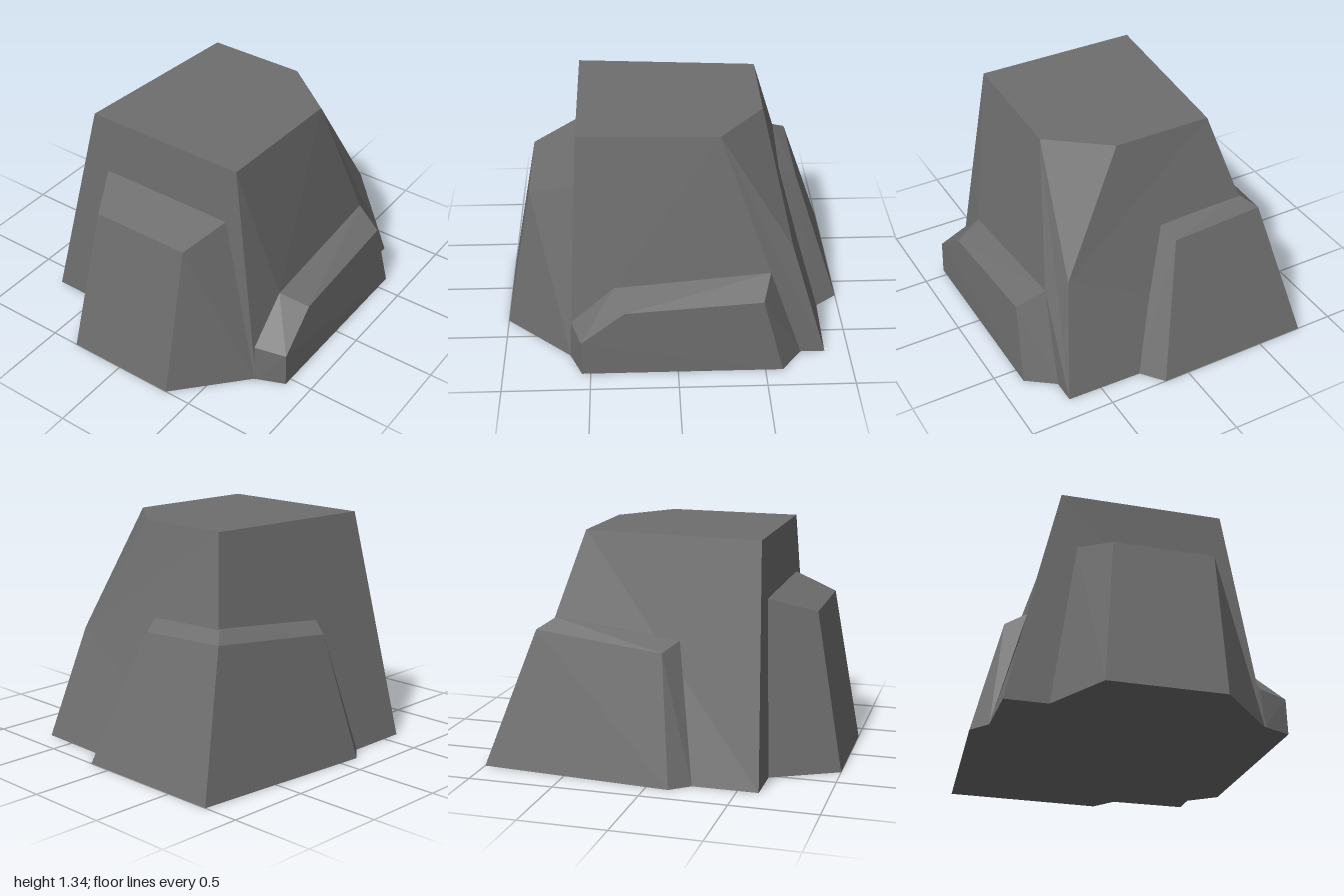
import * as THREE from 'three';
import { ConvexGeometry } from 'three/addons/geometries/ConvexGeometry.js';

// Flat-faced solid from named corners and polygons (fan triangulated).
function facetGeometry(corners, faces) {
  const pos = [];
  for (const face of faces) {
    const names = face.split(' ');
    for (let i = 1; i < names.length - 1; i++) {
      for (const n of [names[0], names[i], names[i + 1]]) pos.push(...corners[n]);
    }
  }
  const g = new THREE.BufferGeometry();
  g.setAttribute('position', new THREE.Float32BufferAttribute(pos, 3));
  g.computeVertexNormals();
  return g;
}

const hull = (points) => new ConvexGeometry(points.map((p) => new THREE.Vector3(...p)));

export function createModel() {
  const group = new THREE.Group();
  group.name = 'rock';
  const stone = new THREE.MeshStandardMaterial({ color: 0x6e6e6e });
  stone.name = 'grey stone';

  const add = (name, geometry) => {
    const mesh = new THREE.Mesh(geometry, stone);
    mesh.name = name;
    group.add(mesh);
  };

  // Tall core: t = top rim, b = base, m = chamfer tip, f = front bulge
  add('core', facetGeometry({
    t0: [-0.55, 1.34, -0.47], t1: [0.5, 1.34, -0.38], t2: [0.5, 1.34, 0.2],
    t3: [0.24, 1.34, 0.53], t4: [-0.55, 1.34, 0.5],
    b0: [-0.62, 0, -0.78], b1: [0.9, 0, -0.78], b2: [0.86, 0, 0.7], b3: [-0.62, 0, 0.7],
    m: [0.66, 0.66, 0.59], f0: [-0.36, 0.46, 0.675], f1: [0.53, 0.54, 0.67],
  }, [
    't0 t4 t3 t2 t1', 'b0 b1 b2 b3',
    't0 b0 b3 t4', 't1 b1 b0', 't1 b0 t0',
    't2 m t1', 'm b1 t1', 'm b2 b1',
    't3 m t2', 't3 b2 m',
    't4 b3 f0', 't4 f0 t3', 't3 f0 f1', 't3 f1 b2', 'f0 b3 b2', 'f0 b2 f1',
  ]));

  // Low ledge across the front
  add('frontLedge', hull([
    [-0.62, 0, 0.69], [-0.55, 0, 0.86], [0.6, 0, 0.86], [0.72, 0, 0.7],
    [-0.55, 0.21, 0.855], [-0.3, 0.4, 0.84], [0.48, 0.45, 0.83],
    [-0.61, 0.23, 0.68], [-0.36, 0.46, 0.675], [0.53, 0.54, 0.67],
  ]));

  // High slab against the right side
  add('rightSlab', hull([
    [-1, 0, -0.33], [-1, 0, 0.34], [-0.62, 0, -0.53], [-0.62, 0, 0.69],
    [-0.83, 0.91, -0.24], [-0.83, 0.91, 0.35],
    [-0.56, 1.0, -0.38], [-0.56, 1.0, 0.45],
  ]));

  // Slab wrapping the back left corner
  add('cornerSlab', hull([
    [-0.24, 0, -0.78], [-0.13, 0, -0.87], [1, 0, -0.78], [1, 0, 0.15], [0.86, 0, 0.26],
    [-0.04, 0.72, -0.68], [0.73, 0.79, -0.61], [0.74, 0.765, -0.05],
    [-0.11, 0.77, -0.56], [0.64, 0.85, -0.53], [0.64, 0.82, -0.01],
  ]));

  return group;
}
